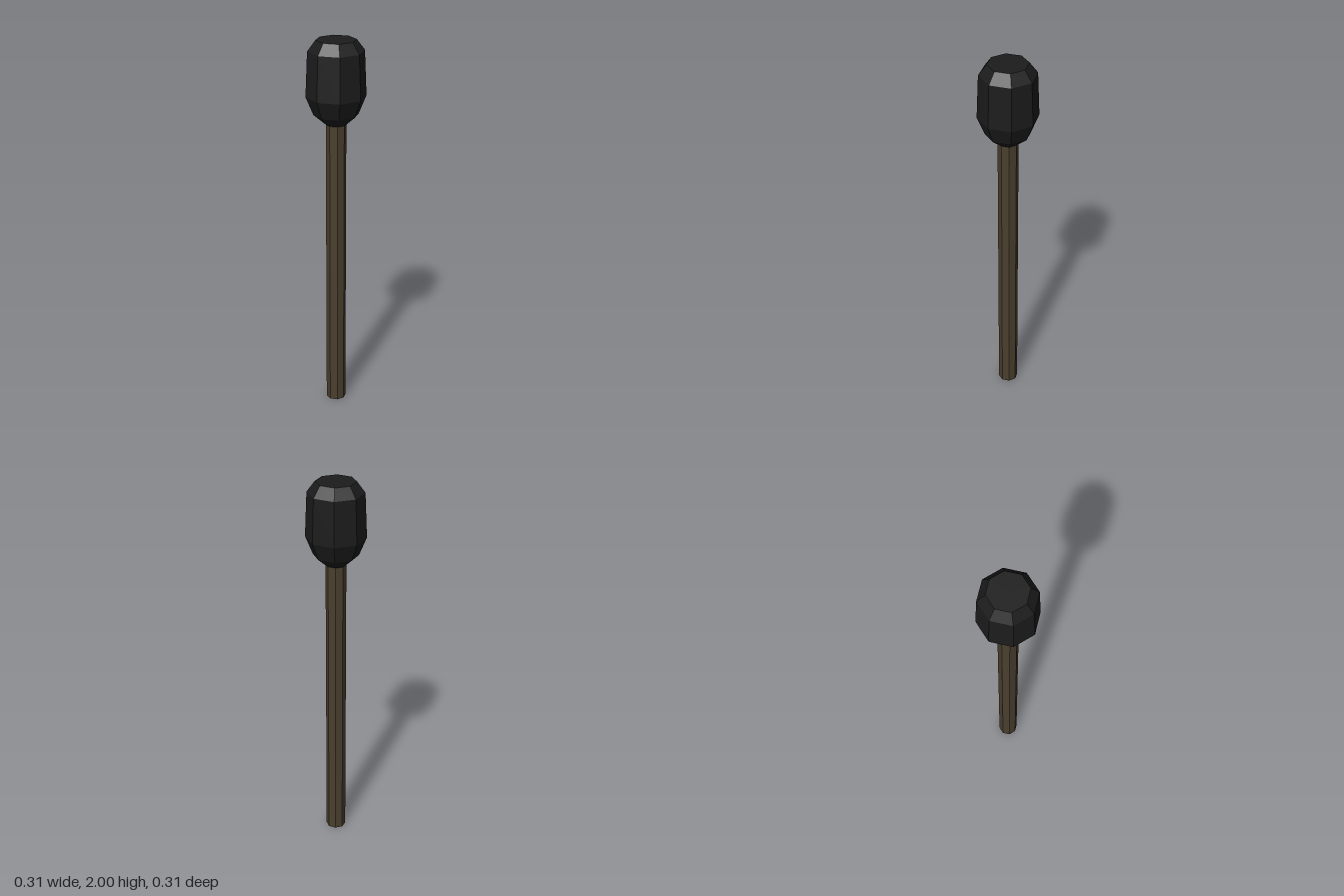
import * as THREE from 'three';

const SIDES = 8;

// Closed eight-sided solid turned from [radius, height] pairs, bottom to top
function turned(name, profile, color) {
  const points = profile.map(([r, y]) => new THREE.Vector2(r, y));
  const material = new THREE.MeshStandardMaterial({ color, flatShading: true });
  const mesh = new THREE.Mesh(new THREE.LatheGeometry(points, SIDES), material);
  mesh.name = name;
  return mesh;
}

export function createModel() {
  const group = new THREE.Group();
  group.name = 'matchstick';

  // Straight wooden stick, running up into the head
  group.add(turned('stick', [[0, 0], [0.052, 0], [0.052, 1.6], [0, 1.6]], 0x4a3f2e));

  // Faceted head: narrow neck, widest low down, bevelled flat top
  group.add(turned('head', [
    [0, 1.57], [0.054, 1.57], [0.115, 1.622], [0.153, 1.715],
    [0.143, 1.945], [0.102, 2], [0, 2],
  ], 0x1c1c1c));

  return group;
}
